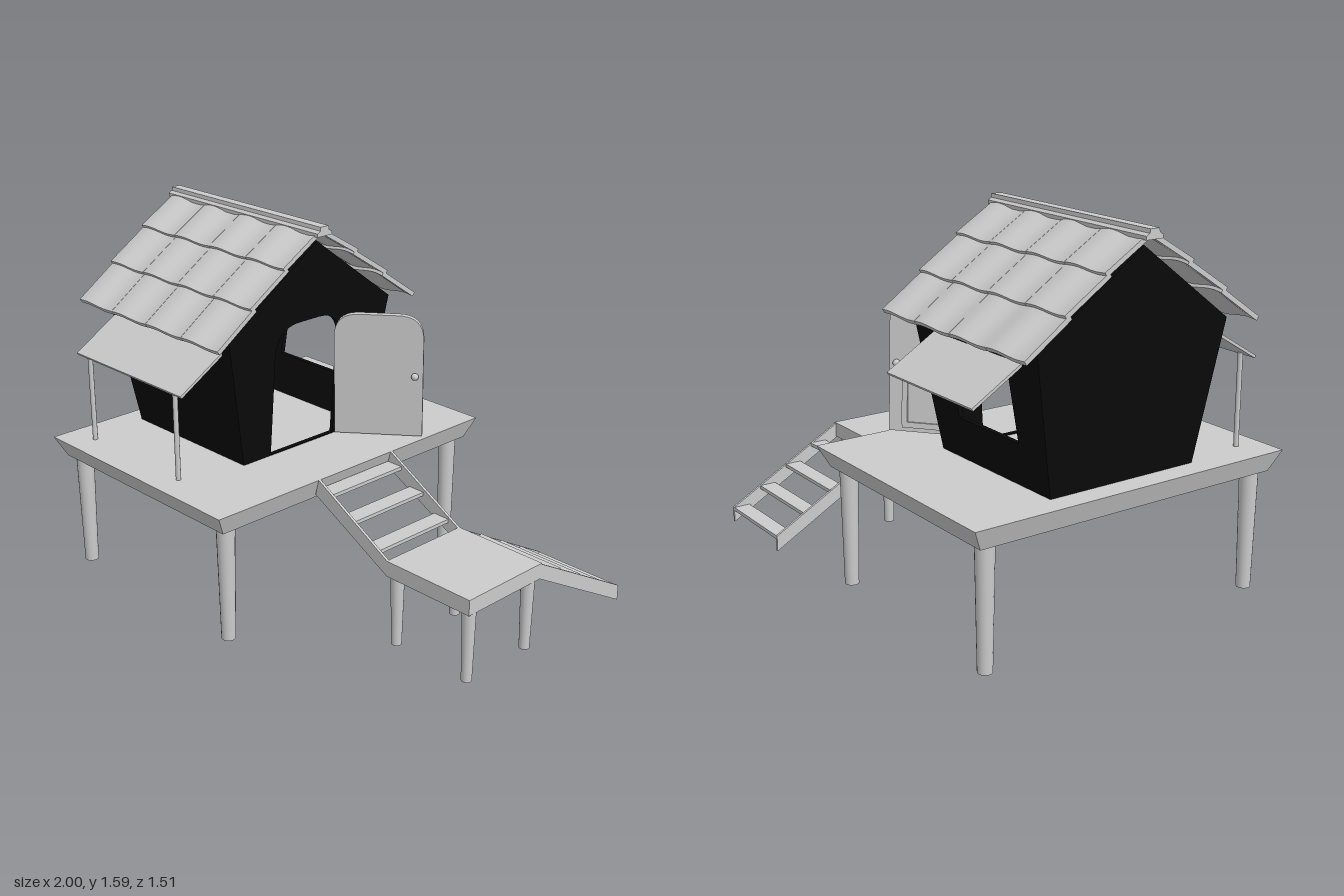
import * as THREE from 'three';

const grey = new THREE.MeshStandardMaterial({ color: 0xcccccc });
const black = new THREE.MeshStandardMaterial({ color: 0x0a0a0a });
const CX = -0.51; // house centre along x

function add(parent, name, geometry, x = 0, y = 0, z = 0, material = grey) {
  const mesh = new THREE.Mesh(geometry, material);
  mesh.name = name;
  mesh.position.set(x, y, z);
  parent.add(mesh);
  return mesh;
}

// Box given by its limits
function block(parent, name, [x0, x1], [y0, y1], [z0, z1]) {
  return add(parent, name, new THREE.BoxGeometry(x1 - x0, y1 - y0, z1 - z0),
    (x0 + x1) / 2, (y0 + y1) / 2, (z0 + z1) / 2);
}

function leg(parent, name, x, z, height, rTop, rBottom) {
  add(parent, name, new THREE.CylinderGeometry(rTop, rBottom, height, 18), x, height / 2, z);
}

const polygon = (pts) => new THREE.Shape(pts.map((p) => new THREE.Vector2(...p)));
const plate = (shape, depth) =>
  new THREE.ExtrudeGeometry(shape, { depth, bevelEnabled: false, curveSegments: 10 });

// Upright outline with rounded top corners
function archPoints(path, u0, u1, y0, y1, r) {
  path.moveTo(u0, y0);
  path.lineTo(u1, y0);
  path.lineTo(u1, y1 - r);
  path.quadraticCurveTo(u1, y1, u1 - r, y1);
  path.lineTo(u0 + r, y1);
  path.quadraticCurveTo(u0, y1, u0, y1 - r);
  path.lineTo(u0, y0);
  return path;
}

// Wall leaning outwards: its foot stands `foot` from the centre
function wall(parent, name, shape, foot, slope, turn) {
  const geo = plate(shape, 0.02);
  const p = geo.attributes.position;
  for (let i = 0; i < p.count; i++) {
    p.setZ(i, p.getZ(i) - 0.02 + foot + slope * (p.getY(i) - 0.6));
  }
  geo.computeVertexNormals();
  geo.rotateY(turn);
  add(parent, name, geo, CX, 0, 0, black);
}

function buildHouse(root) {
  const house = new THREE.Group();
  house.name = 'house';
  root.add(house);
  const gable = () => polygon([[-0.35, 0.6], [0.35, 0.6], [0.455, 1.185], [0, 1.52], [-0.455, 1.185]]);
  const side = () => polygon([[-0.355, 0.6], [0.355, 0.6], [0.405, 1.185], [-0.405, 1.185]]);

  const doorWall = gable();
  doorWall.holes.push(archPoints(new THREE.Path(), -0.2, 0.165, 0.605, 1.18, 0.13));
  wall(house, 'doorWall', doorWall, 0.355, 0.086, Math.PI / 2);
  wall(house, 'endWall', gable(), 0.355, 0.086, -Math.PI / 2);
  wall(house, 'frontWall', side(), 0.35, 0.18, 0);
  const backWall = side();
  backWall.holes.push(archPoints(new THREE.Path(), -0.19, 0.2, 0.78, 1.08, 0.02));
  wall(house, 'backWall', backWall, 0.35, 0.18, Math.PI);

  // Open door, hinged at the back edge of the doorway
  const hinge = new THREE.Group();
  hinge.name = 'door';
  hinge.position.set(-0.145, 0.61, -0.17);
  hinge.rotation.set(0, Math.PI * 0.718, 0);
  house.add(hinge);
  const leaf = new THREE.Group();
  leaf.name = 'doorLeaf';
  leaf.rotation.z = 0.073;
  hinge.add(leaf);
  const slab = plate(archPoints(new THREE.Shape(), -0.385, 0, 0, 0.565, 0.11), 0.025);
  slab.rotateY(Math.PI / 2);
  add(leaf, 'doorSlab', slab, -0.0125, 0, 0);
  for (const y of [0.03, 0.25]) block(leaf, 'doorPanelRail', [0.01, 0.022], [y - 0.012, y + 0.012], [0.06, 0.325]);
  for (const z of [0.07, 0.315]) block(leaf, 'doorPanelStile', [0.01, 0.022], [0.03, 0.25], [z - 0.012, z + 0.012]);
  for (const s of [-1, 1]) add(leaf, 'doorKnob', new THREE.SphereGeometry(0.016, 14, 10), s * 0.025, 0.29, 0.35);
}

// Three overlapping rows of wavy tiles on each slope
function buildRoof(root) {
  const rows = [ // [lower z, lower y, upper z, upper y]
    [0.555, 1.178, 0.36, 1.313],
    [0.382, 1.314, 0.185, 1.442],
    [0.206, 1.443, 0.01, 1.562],
  ];
  const width = 0.234;
  for (const turn of [0, Math.PI]) {
    const slope = new THREE.Group();
    slope.name = turn ? 'backRoof' : 'frontRoof';
    slope.position.x = -0.515;
    slope.rotation.y = turn;
    root.add(slope);
    for (const [z0, y0, z1, y1] of rows) {
      for (let c = 0; c < 4; c++) {
        const geo = new THREE.BoxGeometry(width - 0.002, 0.02, Math.hypot(z0 - z1, y1 - y0), 12, 1, 1);
        const p = geo.attributes.position;
        for (let i = 0; i < p.count; i++) {
          p.setY(i, p.getY(i) - 0.006 * Math.sin((2 * Math.PI * p.getX(i)) / width));
        }
        geo.computeVertexNormals();
        const tile = add(slope, 'roofTile', geo, (c - 1.5) * width, (y0 + y1) / 2, (z0 + z1) / 2);
        tile.rotation.x = Math.atan2(y1 - y0, z0 - z1);
      }
    }
  }
  const cap = plate(polygon([[-0.04, 1.55], [0.04, 1.55], [0.04, 1.565], [0.024, 1.574],
    [0.022, 1.59], [-0.022, 1.59], [-0.024, 1.574], [-0.04, 1.565]]), 0.97);
  cap.rotateY(Math.PI / 2);
  add(root, 'ridgeCap', cap, -1, 0, 0);
}

function buildAwnings(root) {
  const awning = (name, x0, x1, s) => {
    const geo = new THREE.BoxGeometry(x1 - x0, 0.012, 0.252);
    const mesh = add(root, name, geo, (x0 + x1) / 2, 1.051, s * 0.55);
    mesh.rotation.x = s * 0.54;
  };
  awning('frontAwning', -0.88, -0.165, 1);
  awning('backAwning', -0.81, -0.24, -1);
  for (const x of [-0.82, -0.235]) {
    add(root, 'awningPole', new THREE.CylinderGeometry(0.011, 0.011, 0.395, 12), x, 0.797, 0.635);
  }
}

function buildPlatform(root) {
  // Deck tapering towards its underside
  const geo = new THREE.BoxGeometry(1.135, 0.09, 1.51);
  const p = geo.attributes.position;
  for (let i = 0; i < p.count; i++) {
    if (p.getY(i) < 0) {
      p.setX(i, p.getX(i) * 0.94);
      p.setZ(i, p.getZ(i) * 0.94);
    }
  }
  geo.computeVertexNormals();
  add(root, 'deck', geo, -0.3975, 0.555, 0);
  for (const x of [-0.88, 0.085]) for (const z of [-0.655, 0.655]) leg(root, 'deckLeg', x, z, 0.512, 0.039, 0.03);
}

function buildStairs(root) {
  // Upper flight, descending along +x
  for (const z of [-0.21, 0.213]) {
    add(root, 'upperStringer', plate(polygon([[0.15, 0.53], [0.565, 0.31], [0.565, 0.378], [0.17, 0.6]]), 0.012), 0, 0, z);
  }
  [[0.155, 0.235, 0.543], [0.285, 0.365, 0.467], [0.43, 0.51, 0.392]].forEach(([x0, x1, y]) =>
    block(root, 'upperTread', [x0, x1], [y - 0.008, y + 0.008], [-0.2, 0.215]));

  // Landing
  block(root, 'landing', [0.562, 1], [0.31, 0.378], [-0.21, 0.225]);
  for (const x of [0.592, 0.97]) for (const z of [-0.163, 0.19]) leg(root, 'landingLeg', x, z, 0.312, 0.029, 0.022);

  // Lower flight, descending along -z
  for (const x of [0.562, 0.988]) {
    const geo = plate(polygon([[0.2, 0.31], [0.755, 0], [0.755, 0.07], [0.2, 0.378]]), 0.012);
    geo.rotateY(Math.PI / 2);
    add(root, 'lowerStringer', geo, x, 0, 0);
  }
  for (let i = 0; i < 4; i++) {
    const z = -0.308 - i * 0.136, y = 0.295 - i * 0.078;
    block(root, 'lowerTread', [0.57, 0.992], [y - 0.008, y + 0.008], [z - 0.038, z + 0.038]);
  }
}

export function createModel() {
  const root = new THREE.Group();
  root.name = 'raisedHut';
  buildPlatform(root);
  buildHouse(root);
  buildRoof(root);
  buildAwnings(root);
  buildStairs(root);
  return root;
}
